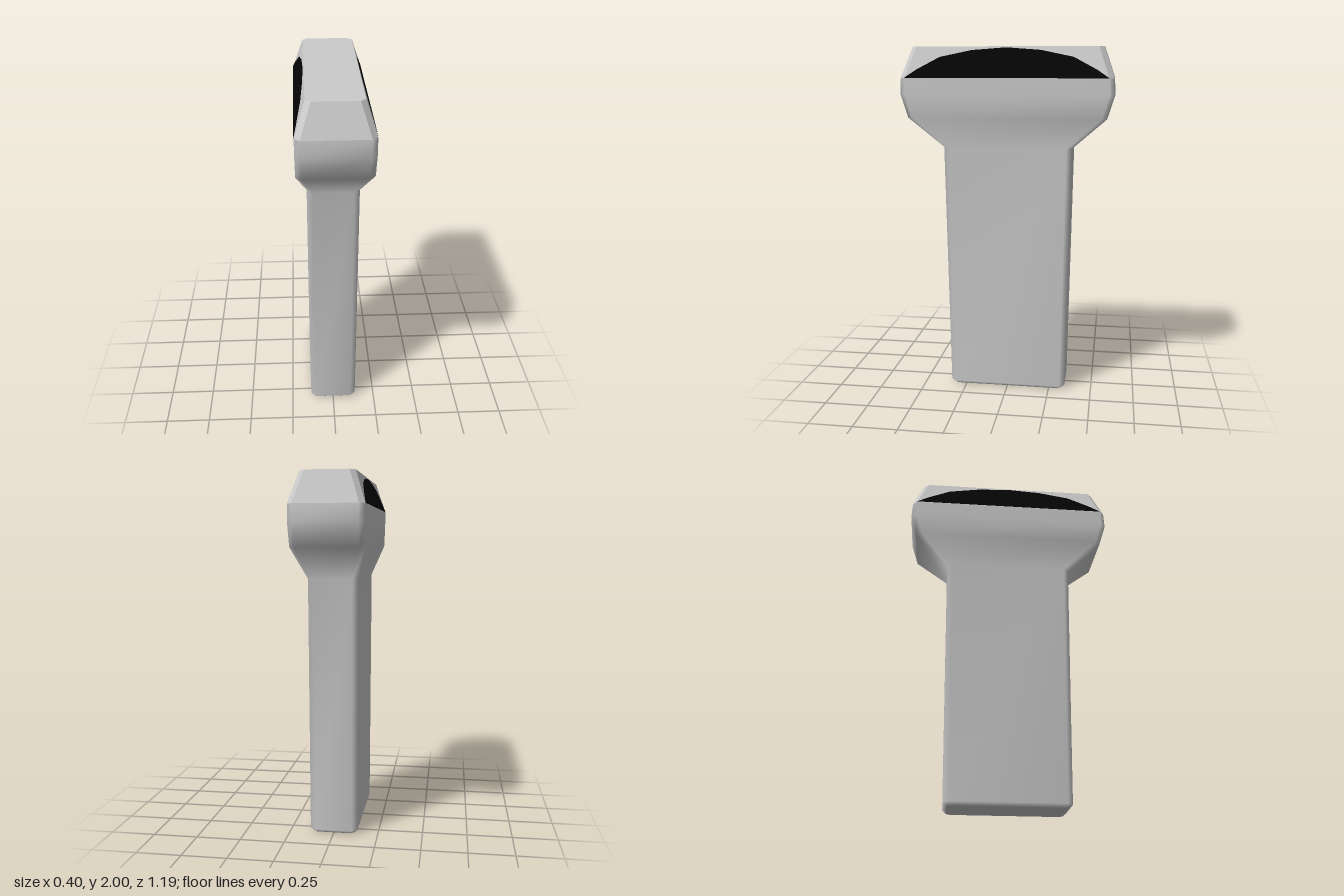
import * as THREE from 'three';

// Chamfered rectangle at height y: [y, half width, half depth, chamfer]
function ring([y, w, d, c]) {
  return [[w, d - c], [w - c, d], [c - w, d], [-w, d - c], [-w, c - d], [c - w, -d], [w - c, -d], [w, c - d]]
    .map(([x, z]) => [x, y, z]);
}

// Skin rings from bottom to top, with optional end caps
function loft(rings, capBottom, capTop) {
  const n = rings[0].length, index = [];
  for (let r = 0; r < rings.length - 1; r++) {
    for (let i = 0; i < n; i++) {
      const a = r * n + i, b = r * n + (i + 1) % n;
      index.push(a, a + n, b, b, a + n, b + n);
    }
  }
  const top = (rings.length - 1) * n;
  for (let i = 1; i < n - 1; i++) {
    if (capBottom) index.push(0, i, i + 1);
    if (capTop) index.push(top, top + i + 1, top + i);
  }
  const g = new THREE.BufferGeometry();
  g.setAttribute('position', new THREE.Float32BufferAttribute(rings.flat(2), 3));
  g.setIndex(index);
  g.computeVertexNormals();
  return g;
}

export function createModel() {
  const group = new THREE.Group();
  const grey = new THREE.MeshStandardMaterial({ color: 0xcccccc });
  const black = new THREE.MeshStandardMaterial({ color: 0x050505 });
  const add = (name, geometry, material) => {
    const mesh = new THREE.Mesh(geometry, material);
    mesh.name = name;
    group.add(mesh);
  };

  // Smooth handle flaring into the wide head
  const body = [
    [0, 0.115, 0.322, 0.02], [0.02, 0.135, 0.343, 0.03], [1.44, 0.138, 0.366, 0.03],
    [1.61, 0.198, 0.557, 0.03], [1.74, 0.2, 0.597, 0.03], [1.83, 0.2, 0.592, 0.028],
  ].map(ring);
  add('handleAndHead', loft(body, true, false), grey);

  // Tapered upper head and its flat top
  const rim = ring([1.83, 0.2, 0.592, 0.028]);
  const face = ring([2, 0.145, 0.533, 0.028]);
  const taper = loft([rim, face], false, false).toNonIndexed();
  taper.computeVertexNormals();
  add('headTaper', taper, grey);
  add('headTop', loft([face], false, true), grey);

  // Dark arched inlay following both long sides of the taper
  const arc = [[0.565, 1.83], [0.5, 1.874], [0.37, 1.943], [0.19, 1.98], [0, 1.994]];
  const stations = [...arc, ...arc.slice(0, -1).reverse().map(([z, y]) => [-z, y])];
  const halfWidth = (y) => 0.202 - (y - 1.83) * 0.055 / 0.17;
  for (const side of [1, -1]) {
    const pos = [], index = [];
    stations.forEach(([z, y], i) => {
      pos.push(side * halfWidth(1.83), 1.83, z, side * halfWidth(y), y, z);
      const k = i * 2;
      if (i === stations.length - 1) return;
      if (side > 0) index.push(k, k + 2, k + 1, k + 1, k + 2, k + 3);
      else index.push(k, k + 1, k + 2, k + 1, k + 3, k + 2);
    });
    const g = new THREE.BufferGeometry();
    g.setAttribute('position', new THREE.Float32BufferAttribute(pos, 3));
    g.setIndex(index);
    g.computeVertexNormals();
    add(side > 0 ? 'leftInlay' : 'rightInlay', g, black);
  }
  return group;
}
